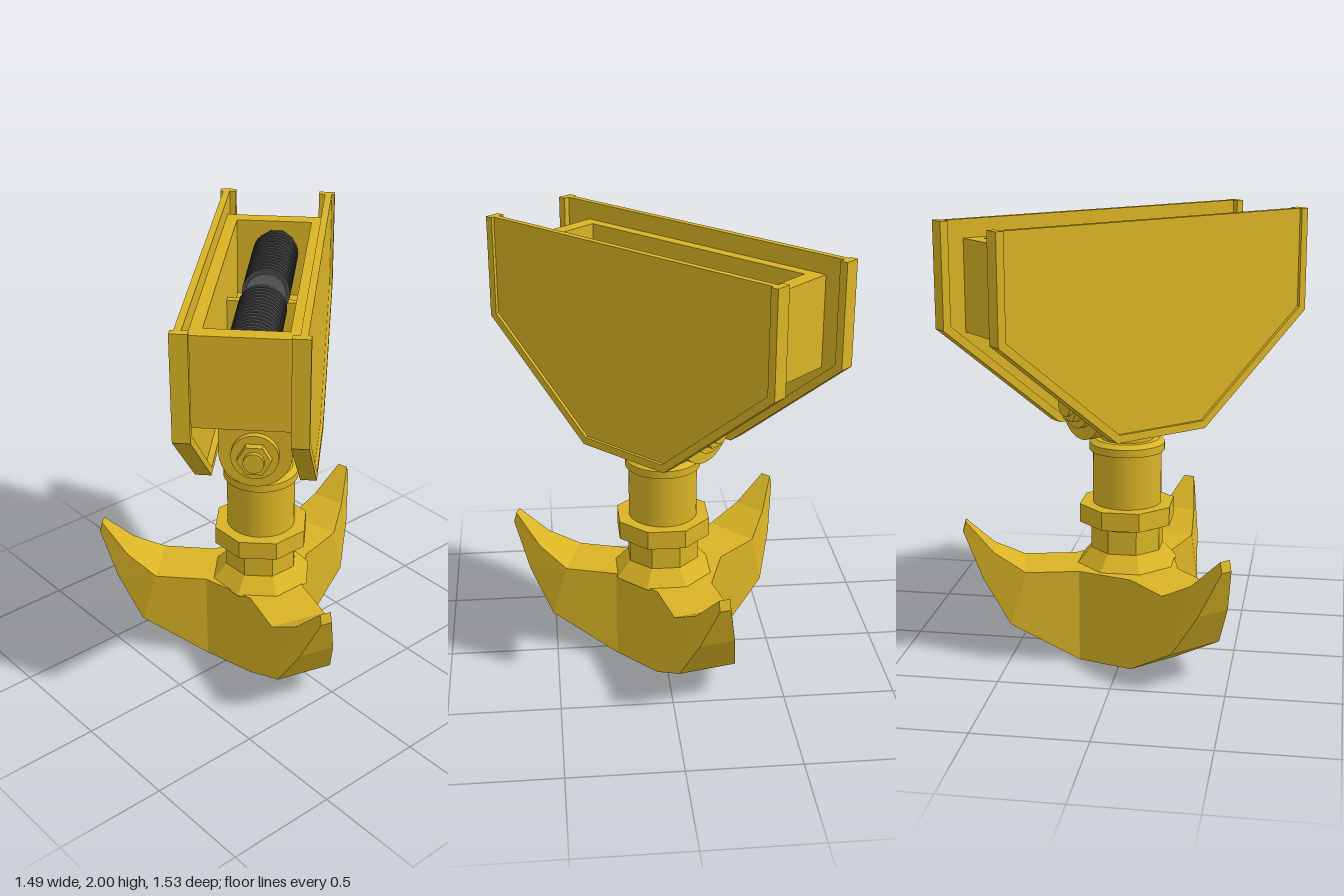
import * as THREE from 'three';

const mat = (name, color) => Object.assign(new THREE.MeshStandardMaterial({ color }), { name });

export function createModel() {
  const yellow = mat('yellow paint', 0xdab425);
  const drumGrey = mat('drum grey', 0x4b4b4e);
  const steel = mat('steel grey', 0x68686b);
  const dark = mat('dark grey', 0x343436);

  const add = (parent, name, geo, material, x = 0, y = 0, z = 0) => {
    const mesh = new THREE.Mesh(geo, material);
    mesh.name = name;
    mesh.position.set(x, y, z);
    parent.add(mesh);
    return mesh;
  };
  const faceted = (geo) => {
    const g = geo.toNonIndexed();
    g.computeVertexNormals();
    return g;
  };
  // Upright cylinder between two heights
  const post = (y0, y1, rBottom, rTop = rBottom, sides = 32) => {
    let g = new THREE.CylinderGeometry(rTop, rBottom, y1 - y0, sides);
    if (sides < 12) g = faceted(g.rotateY(Math.PI / sides));
    return g.translate(0, (y0 + y1) / 2, 0);
  };
  // Cylinder lying along local x between two positions
  const bar = (x0, x1, r, sides = 28) => {
    let g = new THREE.CylinderGeometry(r, r, Math.abs(x1 - x0), sides);
    if (sides < 12) g = faceted(g);
    return g.rotateZ(Math.PI / 2).translate((x0 + x1) / 2, 0, 0);
  };
  const poly = (pts) => new THREE.Shape(pts.map((p) => new THREE.Vector2(p[0], p[1])));
  const extrude = (shape, depth, curveSegments = 16) =>
    new THREE.ExtrudeGeometry(shape, { depth, bevelEnabled: false, curveSegments });

  const model = new THREE.Group();
  model.name = 'hookBlock';

  // ---- Block: long axis is local x, turned diagonally ----
  const block = new THREE.Group();
  block.name = 'block';
  block.rotation.y = -0.81;
  model.add(block);

  // Cheek plates with a raised rim on the sides and bottom
  const outer = [[-0.805, 2], [-0.805, 1.54], [-0.235, 1.065], [0.235, 1.065], [0.805, 1.54], [0.805, 2]];
  const inner = [[0.77, 2], [0.77, 1.557], [0.223, 1.1], [-0.223, 1.1], [-0.77, 1.557], [-0.77, 2]];
  for (const s of [-1, 1]) {
    add(block, 'cheekPlate', extrude(poly(outer.map(([x, y]) => [x * 0.98, y === 1.065 ? 1.08 : y])), 0.03),
      yellow, 0, 0, s * 0.236 - 0.015);
    add(block, 'cheekRim', extrude(poly([...outer, ...inner]), 0.072), yellow, 0, 0, s * 0.229 - 0.036);
  }

  // Open housing between the plates: walls, then a floor with a central slot
  const rect = (x0, x1, h) => poly([[x0, -h], [x1, -h], [x1, h], [x0, h]]);
  const walls = rect(-0.685, 0.64, 0.222);
  walls.holes.push(rect(-0.615, 0.57, 0.17));
  add(block, 'housingWalls', extrude(walls, 0.4).rotateX(-Math.PI / 2), yellow, 0, 1.52);
  const floor = rect(-0.65, 0.6, 0.2);
  floor.holes.push(rect(-0.19, 0.19, 0.165));
  add(block, 'housingFloor', extrude(floor, 0.04).rotateX(-Math.PI / 2), yellow, 0, 1.521);
  for (const s of [-1, 1]) {
    add(block, 'crossRib', new THREE.BoxGeometry(0.035, 0.17, 0.36), yellow, s * 0.21, 1.62);
  }

  // Ribbed drums on a common shaft
  const drums = new THREE.Group();
  drums.name = 'drums';
  drums.position.set(-0.02, 1.79, -0.012);
  block.add(drums);
  add(drums, 'shaft', bar(-0.58, 0.58, 0.036), steel);
  for (const s of [-1, 1]) {
    add(drums, 'drumCore', bar(s * 0.075, s * 0.54, 0.082), drumGrey);
    for (let i = 0; i < 15; i++) {
      const x = 0.08 + i * 0.0315;
      add(drums, 'drumRib', bar(s * x, s * (x + 0.017), 0.104), drumGrey);
    }
    add(drums, 'drumFace', bar(s * 0.068, s * 0.079, 0.088), steel);
    add(drums, 'drumEndCap', bar(s * 0.54, s * 0.6, 0.09, 10), dark);
  }

  // Lugs under the housing carry the pivot pin
  const lug = new THREE.Shape();
  lug.moveTo(-0.16, 0.34);
  lug.lineTo(-0.16, 0);
  lug.absarc(0, 0, 0.16, Math.PI, Math.PI * 2, false);
  lug.lineTo(0.16, 0.34);
  lug.closePath();
  const pivot = new THREE.Group();
  pivot.name = 'pivot';
  pivot.position.y = 1.19;
  block.add(pivot);
  for (const s of [-1, 1]) {
    add(pivot, 'lug', extrude(lug, 0.06).rotateY(Math.PI / 2), yellow, s * 0.22 - 0.03);
    add(pivot, 'washer', bar(s * 0.25, s * 0.28, 0.105), yellow);
    add(pivot, 'pinNut', bar(s * 0.28, s * 0.315, 0.075, 6), yellow);
    add(pivot, 'pinEnd', bar(s * 0.31, s * 0.335, 0.046), yellow);
  }
  add(pivot, 'yoke', bar(-0.19, 0.19, 0.14), yellow);

  // ---- Swivel shank ----
  const shank = new THREE.Group();
  shank.name = 'shank';
  model.add(shank);
  add(shank, 'shankTop', post(0.98, 1.2, 0.12), yellow);
  add(shank, 'collarBevel', post(0.985, 1.003, 0.17, 0.145), yellow);
  add(shank, 'collar', post(0.95, 0.985, 0.17), yellow);
  add(shank, 'sleeve', post(0.7, 0.955, 0.155), yellow);
  add(shank, 'swivelNut', post(0.62, 0.705, 0.22, 0.22, 8), yellow);
  add(shank, 'neckBand', post(0.605, 0.625, 0.17), yellow);
  add(shank, 'neck', post(0.48, 0.61, 0.168, 0.168, 8), yellow);
  add(shank, 'neckFlare', post(0.42, 0.495, 0.235, 0.168, 8), yellow);

  // ---- Three-fluke hook ----
  const hook = new THREE.Group();
  hook.name = 'hook';
  hook.position.x = -0.03;
  model.add(hook);

  // Stations: bottom reach, bottom y, top reach, top y, half width
  const stations = [
    [0.1, 0, 0.1, 0.425, 0.13],
    [0.222, 0, 0.222, 0.425, 0.13],
    [0.53, 0.18, 0.46, 0.425, 0.13],
    [0.65, 0.38, 0.6, 0.505, 0.08],
    [0.738, 0.59, 0.725, 0.637, 0.025],
  ].map(([bx, by, tx, ty, h]) => [[bx, by, -h], [bx, by, h], [tx, ty, h], [tx, ty, -h]]);
  const verts = [];
  const quad = (a, b, c, d) => verts.push(...a, ...b, ...c, ...a, ...c, ...d);
  for (let i = 0; i < stations.length - 1; i++) {
    const p = stations[i], q = stations[i + 1];
    for (let k = 0; k < 4; k++) quad(p[k], q[k], q[(k + 1) % 4], p[(k + 1) % 4]);
  }
  const tip = stations[stations.length - 1];
  quad(tip[0], tip[3], tip[2], tip[1]);
  const fluke = new THREE.BufferGeometry();
  fluke.setAttribute('position', new THREE.Float32BufferAttribute(verts, 3));
  fluke.computeVertexNormals();

  const hubPoints = [];
  for (const degrees of [17, 137, 257]) {
    const a = THREE.MathUtils.degToRad(degrees);
    add(hook, 'fluke', fluke, yellow).rotation.y = -a;
    for (const h of [-0.13, 0.13]) {
      hubPoints.push([0.222 * Math.cos(a) - h * Math.sin(a), -(0.222 * Math.sin(a) + h * Math.cos(a))]);
    }
  }
  // Six-sided hub joining the fluke roots
  add(hook, 'hub', extrude(poly(hubPoints), 0.425).rotateX(-Math.PI / 2), yellow);

  return model;
}
